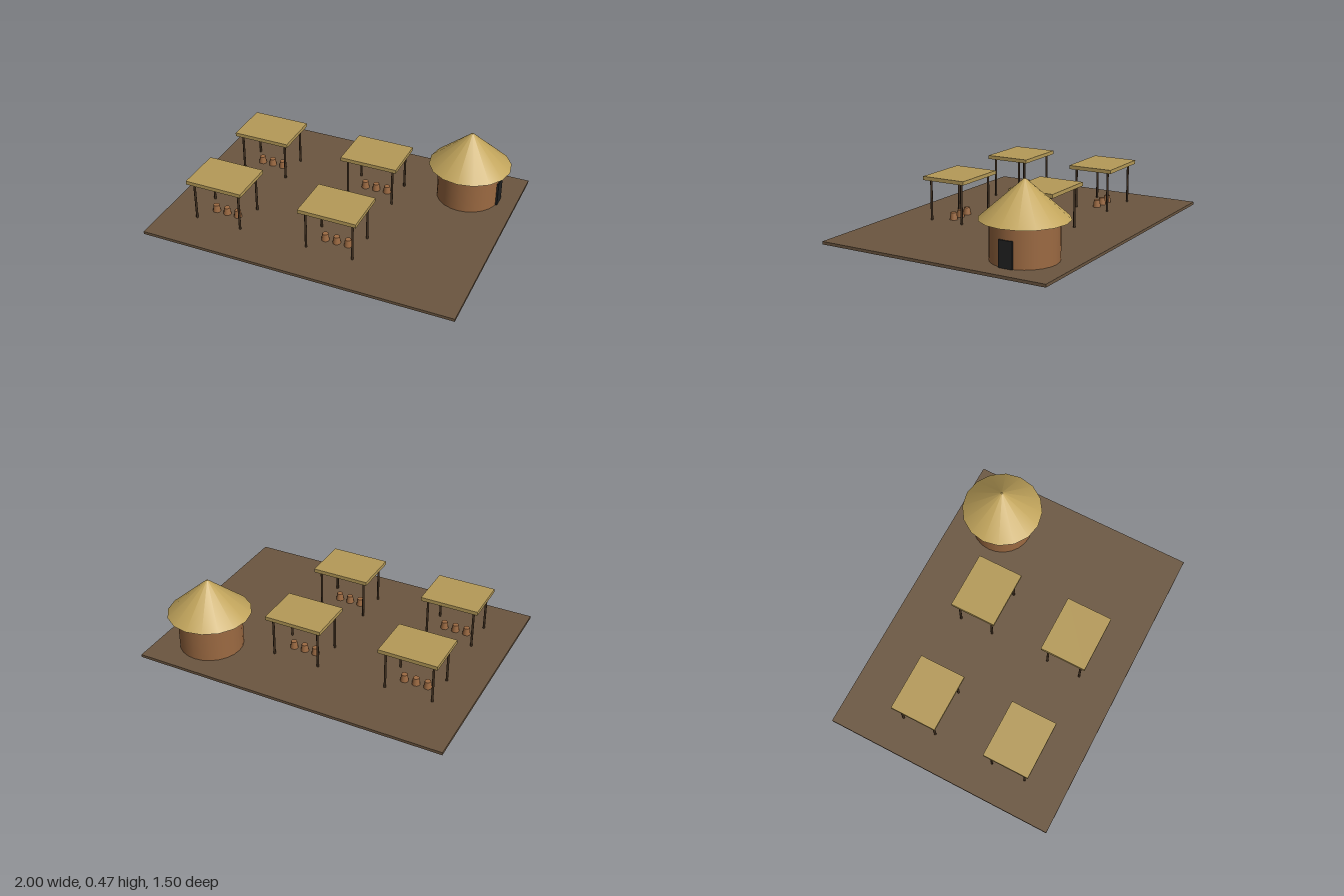
import * as THREE from 'three';

const material = (name, color) => {
  const m = new THREE.MeshStandardMaterial({ color });
  m.name = name;
  return m;
};

export function createModel() {
  const earth = material('earth', 0x6b5640);
  const straw = material('straw', 0xc2a55c);
  const canopyStraw = material('canopy straw', 0xb59a58);
  const clay = material('clay', 0x9c6a42);
  const wood = material('dark wood', 0x3f2e1e);
  const doorway = material('doorway', 0x222222);

  const add = (parent, name, geometry, mat, x, y, z) => {
    const mesh = new THREE.Mesh(geometry, mat);
    mesh.name = name;
    mesh.position.set(x, y, z);
    parent.add(mesh);
    return mesh;
  };

  const model = new THREE.Group();
  model.name = 'villageMarket';

  // Ground slab; its underside sits just above the feet of the parts sunk into it
  add(model, 'ground', new THREE.BoxGeometry(2, 0.018, 1.5), earth, 0, 0.01, 0);

  // Round hut with a conical thatched roof and a door facing +x
  const hut = new THREE.Group();
  hut.name = 'hut';
  hut.position.set(0.686, 0, -0.437);
  model.add(hut);
  add(hut, 'hutWall', new THREE.CylinderGeometry(0.2, 0.2, 0.254, 24), clay, 0, 0.127, 0);
  add(hut, 'hutRoof', new THREE.CylinderGeometry(0.006, 0.26, 0.223, 16), straw, 0, 0.3635, 0);
  add(hut, 'hutDoor', new THREE.BoxGeometry(0.02, 0.176, 0.086), doorway, 0.196, 0.088, 0);

  // Market stalls: canopy on four posts with a row of three pots
  const canopyGeometry = new THREE.BoxGeometry(0.372, 0.024, 0.298);
  const postGeometry = new THREE.CylinderGeometry(0.0075, 0.0075, 0.28, 8);
  const potGeometry = new THREE.CylinderGeometry(0.019, 0.0285, 0.065, 10);
  for (const x of [-0.625, 0.125]) {
    for (const z of [-0.251, 0.374]) {
      const stall = new THREE.Group();
      stall.name = 'stall';
      stall.position.set(x, 0, z);
      model.add(stall);
      add(stall, 'canopy', canopyGeometry, canopyStraw, 0, 0.289, 0);
      for (const sx of [-1, 1]) {
        for (const sz of [-1, 1]) {
          add(stall, 'post', postGeometry, wood, sx * 0.151, 0.14, sz * 0.1125);
        }
      }
      for (const i of [-1, 0, 1]) {
        add(stall, 'pot', potGeometry, clay, i * 0.075, 0.0325, 0);
      }
    }
  }
  return model;
}
